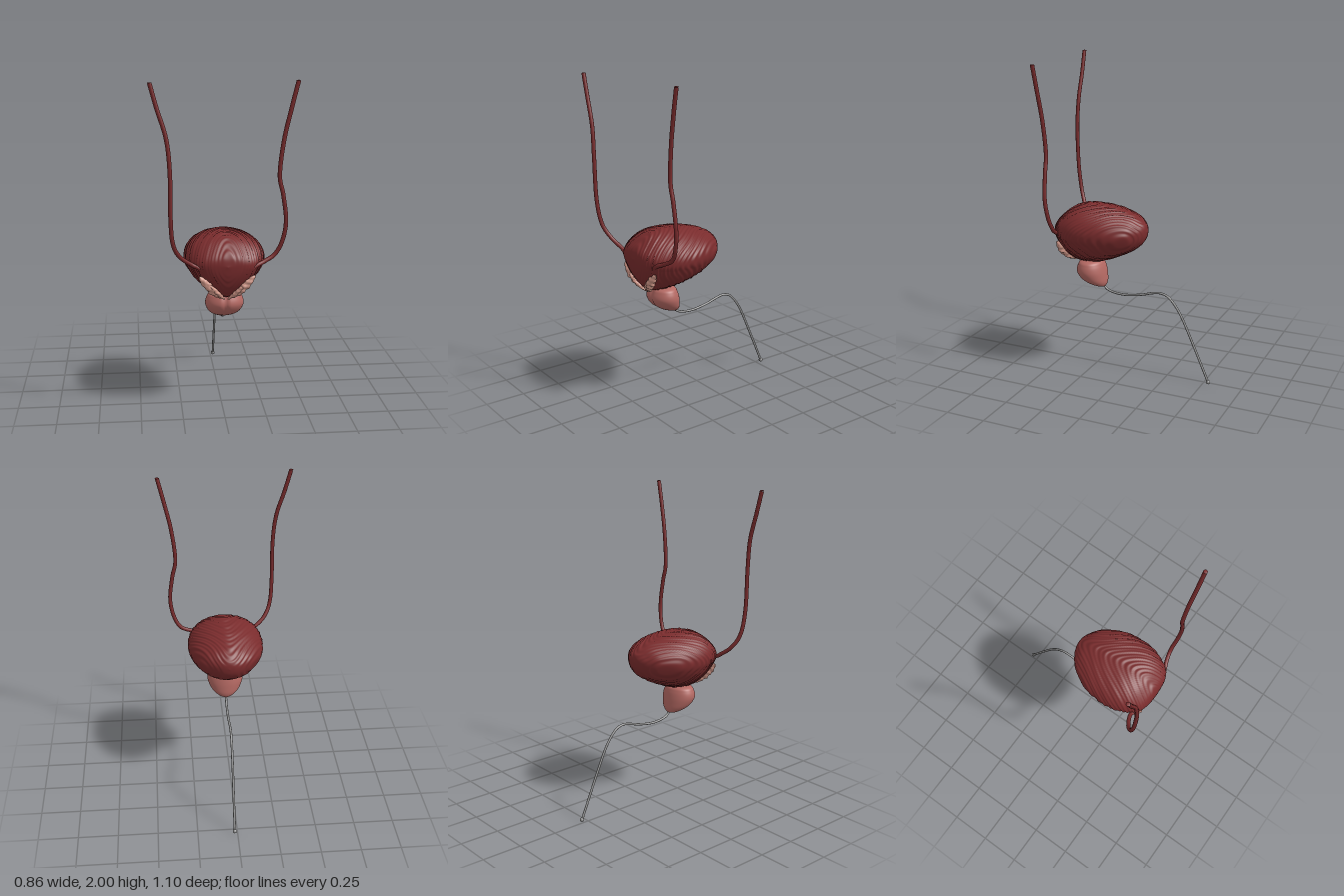
import * as THREE from 'three';

const V = (x, y, z) => new THREE.Vector3(x, y, z);
const CX = 0.017; // midline of the organs

const mat = (name, color) => {
  const m = new THREE.MeshStandardMaterial({ color });
  m.name = name;
  return m;
};

const spline = (pts) => new THREE.CatmullRomCurve3(pts.map((p) => V(...p)), false, 'catmullrom', 0.5);

// Closed surface of rings: point(u, angle) returns a Vector3
function ringSurface(rings, sides, point) {
  const pos = [], index = [];
  for (let i = 0; i <= rings; i++)
    for (let j = 0; j < sides; j++) pos.push(...point(i / rings, (j / sides) * Math.PI * 2).toArray());
  for (let i = 0; i < rings; i++)
    for (let j = 0; j < sides; j++) {
      const a = i * sides + j, b = i * sides + ((j + 1) % sides);
      index.push(a, b, a + sides, b, b + sides, a + sides);
    }
  const g = new THREE.BufferGeometry();
  g.setAttribute('position', new THREE.Float32BufferAttribute(pos, 3));
  g.setIndex(index);
  g.computeVertexNormals();
  return g;
}

// Superellipse helper
const sp = (v, e) => Math.sign(v) * Math.pow(Math.abs(v), e);

function bladderGeometry() {
  // z, half width, height of the widest line
  const size = spline([
    [-0.108, 0, 0.95], [-0.1, 0.045, 0.95], [-0.075, 0.095, 0.948], [-0.02, 0.16, 0.945], [0.09, 0.22, 0.94],
    [0.2, 0.24, 0.935], [0.3, 0.235, 0.935], [0.38, 0.207, 0.935], [0.44, 0.17, 0.935], [0.475, 0.11, 0.935], [0.488, 0, 0.935],
  ]);
  // top, bottom, fullness of the lower half
  const rise = spline([
    [0.95, 0.95, 1], [0.985, 0.905, 1], [1.01, 0.865, 1], [1.045, 0.82, 1.02], [1.078, 0.765, 1.1],
    [1.092, 0.725, 1.2], [1.092, 0.71, 1.3], [1.07, 0.722, 1.35], [1.025, 0.775, 1.3], [0.985, 0.85, 1.2], [0.935, 0.935, 1],
  ]);
  return ringSurface(190, 180, (u, a) => {
    const s = size.getPoint(u), r = rise.getPoint(u);
    const c = Math.cos(a), n = Math.sin(a);
    const e = n < 0 ? 1 + (r.z - 1) * Math.min(1, -n * 3) : 1;
    let x = s.y * sp(c, e);
    let y = s.z + (n > 0 ? (r.x - s.z) * n : (s.z - r.y) * sp(n, e));
    // Muscle fibres fanning from the apex
    const f = 1.5 * Math.sqrt(x * x + 0.002) - 0.85 * s.x - 0.35 * (y - 0.93)
      + 0.02 * Math.sin(x * 13 + s.x * 9) + 0.008 * Math.sin(y * 31 + s.x * 17);
    const k = 0.0022 * Math.sin(f * 190) + 0.0014 * Math.sin(f * 83 + x * 20);
    const fade = Math.min(1, s.y / 0.1);
    x += c * k * fade;
    y += n * k * fade;
    return V(CX + x, y, s.x);
  });
}

function prostateGeometry() {
  // y, half width, unused
  const size = spline([
    [0.547, 0, 0], [0.552, 0.025, 0], [0.563, 0.052, 0], [0.585, 0.083, 0], [0.615, 0.105, 0],
    [0.655, 0.117, 0], [0.695, 0.108, 0], [0.72, 0.085, 0], [0.74, 0, 0],
  ]);
  // rear z, front z
  const depth = spline([
    [0.2, 0.2, 0], [0.183, 0.225, 0], [0.174, 0.255, 0], [0.17, 0.305, 0], [0.173, 0.345, 0],
    [0.18, 0.366, 0], [0.192, 0.358, 0], [0.21, 0.338, 0], [0.27, 0.27, 0],
  ]);
  return ringSurface(48, 64, (u, a) => {
    const s = size.getPoint(u), d = depth.getPoint(u);
    const x = s.y * Math.cos(a), n = -Math.sin(a);
    let z = (d.x + d.y) / 2 + ((d.y - d.x) / 2) * n;
    // Shallow groove between the two lobes
    if (n > 0) z -= 0.012 * Math.exp(-((x / 0.014) ** 2)) * Math.min(1, s.y / 0.08) * n;
    return V(CX + x, s.x, z);
  });
}

// Knobbly spindle between two points
function glandGeometry(from, to, wide, thick, lump) {
  const axis = to.clone().sub(from).normalize();
  const e1 = V(0, 0, 1).cross(axis).normalize();
  const e2 = axis.clone().cross(e1);
  return ringSurface(48, 28, (u, a) => {
    const r = Math.pow(Math.sin(Math.PI * u), 0.55)
      * (1 + lump * Math.sin(u * 34 + 1.5 * Math.sin(a * 2)) + lump * 0.7 * Math.sin(a * 3 + u * 19) * Math.sin(Math.PI * u));
    return from.clone().lerp(to, u)
      .addScaledVector(e1, wide * r * Math.cos(a))
      .addScaledVector(e2, thick * r * Math.sin(a))
      .add(V(0, 0, 0.012 * Math.sin(Math.PI * u)));
  });
}

export function createModel() {
  const model = new THREE.Group();
  const muscle = mat('muscle red', 0x7a2c2d);
  const gland = mat('gland pink', 0xb36862);
  const pale = mat('pale pink', 0xcf9687);
  const grey = mat('duct grey', 0x959595);

  const add = (name, geometry, material) => {
    const m = new THREE.Mesh(geometry, material);
    m.name = name;
    model.add(m);
    return m;
  };
  const ball = (name, p, r, material, sy = 1) => {
    const m = add(name, new THREE.SphereGeometry(r, 20, 14), material);
    m.position.set(...p);
    m.scale.y = sy;
  };

  add('bladder', bladderGeometry(), muscle);
  add('prostate', prostateGeometry(), gland);

  // Ureters, from the cut top down into the bladder wall
  const ureters = {
    leftUreter: [
      [0.415, 1.997, 0.443], [0.378, 1.84, 0.437], [0.34, 1.66, 0.428], [0.32, 1.46, 0.421], [0.343, 1.34, 0.418],
      [0.362, 1.19, 0.414], [0.345, 1.07, 0.405], [0.303, 0.985, 0.398], [0.24, 0.946, 0.412], [0.19, 0.925, 0.432], [0.12, 0.88, 0.45],
    ],
    rightUreter: [
      [-0.42, 1.997, 0.53], [-0.383, 1.86, 0.53], [-0.333, 1.69, 0.533], [-0.315, 1.5, 0.537], [-0.314, 1.25, 0.53],
      [-0.302, 1.09, 0.505], [-0.262, 1.0, 0.465], [-0.19, 0.94, 0.43], [-0.15, 0.92, 0.435], [-0.085, 0.88, 0.45],
    ],
  };
  for (const [name, pts] of Object.entries(ureters)) {
    add(name, new THREE.TubeGeometry(spline(pts), 120, 0.0125, 14), muscle);
    ball(name + 'End', pts[0], 0.0128, muscle, 0.22);
  }

  // Seminal vesicles with the slimmer ducts beside them
  for (const [side, s] of [['left', 1], ['right', -1]]) {
    const p = (x, y, z) => V(CX + s * x, y, z);
    add(side + 'SeminalVesicle', glandGeometry(p(0.165, 0.868, 0.437), p(0.03, 0.72, 0.395), 0.025, 0.024, 0.13), pale);
    add(side + 'DuctAmpulla', glandGeometry(p(0.112, 0.825, 0.447), p(0.008, 0.708, 0.385), 0.013, 0.016, 0.1), pale);
  }

  // Urethra curving backwards and down
  const path = [
    [CX, 0.585, 0.2], [CX, 0.556, 0.187], [CX, 0.532, 0.163], [CX, 0.517, 0.115], [CX, 0.513, 0.035], [CX, 0.53, -0.07],
    [CX, 0.553, -0.15], [CX, 0.56, -0.205], [CX, 0.542, -0.257], [CX, 0.485, -0.31], [CX, 0.4, -0.36], [CX, 0.21, -0.447], [CX, 0.015, -0.533],
  ];
  add('urethra', new THREE.TubeGeometry(spline(path), 120, 0.0075, 12), grey);
  ball('urethraTip', [CX, 0.014, -0.534], 0.0135, grey);

  return model;
}
